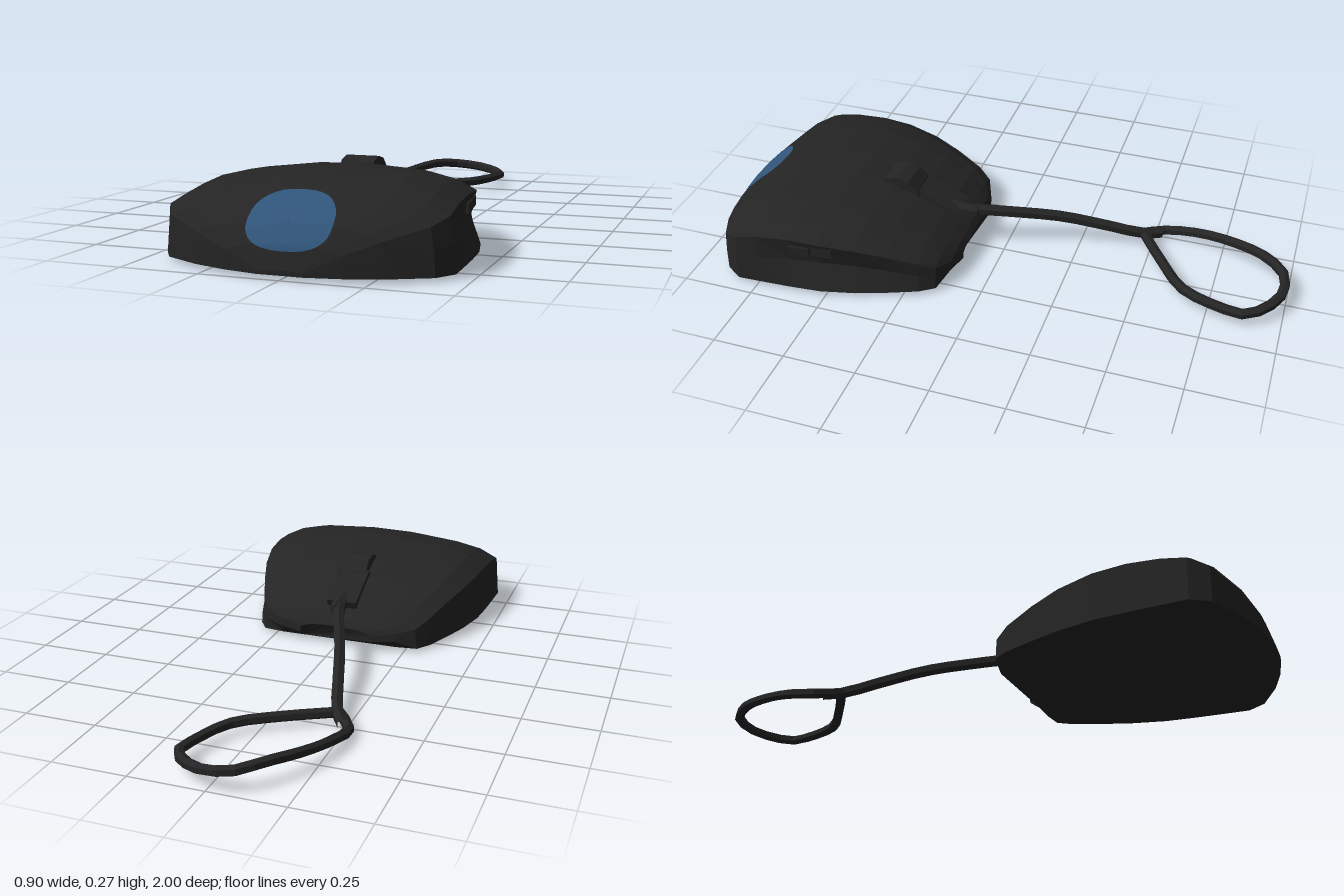
import * as THREE from 'three';

const black = new THREE.MeshStandardMaterial({ color: 0x242424, flatShading: true });
black.name = 'black plastic';
const blue = new THREE.MeshStandardMaterial({ color: 0x30557a });
blue.name = 'blue light';

const BASE = 0.015;

// Shell stations from rear to nose: z, half width, crown height
const STATIONS = [
  [0.995, 0.07, 0.03], [0.975, 0.18, 0.1], [0.94, 0.29, 0.155], [0.88, 0.41, 0.205],
  [0.82, 0.45, 0.238], [0.74, 0.447, 0.262], [0.63, 0.442, 0.275], [0.52, 0.433, 0.268],
  [0.4, 0.405, 0.245], [0.3, 0.37, 0.21], [0.2, 0.33, 0.162], [0.15, 0.295, 0.125],
  [0.12, 0.22, 0.1], [0.105, 0.14, 0.08],
];

// Cross-section as fractions of half width and height, from +x to -x
const SECTION = [
  [1, 0], [0.99, 0.38], [0.965, 0.73], [0.82, 0.86], [0.6, 0.95], [0.18, 1],
  [-0.18, 0.985], [-0.6, 0.9], [-0.82, 0.81], [-0.97, 0.66], [-0.985, 0.33], [-1, 0],
];

function shellGeometry() {
  const pos = [], index = [], n = SECTION.length;
  for (const [z, w, h] of STATIONS) {
    SECTION.forEach(([fx, fy], j) => {
      // Thumb hollow on the +x wall
      const t = THREE.MathUtils.clamp((z - 0.15) / 0.62, 0, 1);
      const hollow = j === 1 ? 0.035 * Math.sin(Math.PI * t) : 0;
      // The nose leans out over the base
      const zz = fy === 0 ? Math.max(z, 0.14) : z;
      pos.push(fx * w - hollow, BASE + fy * (h - BASE), zz);
    });
  }
  for (let i = 0; i < STATIONS.length - 1; i++) {
    for (let j = 0; j < n; j++) {
      const k = (j + 1) % n;
      const a = i * n + j, b = i * n + k, c = a + n, d = b + n;
      index.push(a, c, b, b, c, d);
    }
  }
  const last = (STATIONS.length - 1) * n;
  for (let j = 1; j < n - 1; j++) {
    index.push(0, j, j + 1, last, last + j + 1, last + j);
  }
  const g = new THREE.BufferGeometry();
  g.setAttribute('position', new THREE.Float32BufferAttribute(pos, 3));
  g.setIndex(index);
  g.computeVertexNormals();
  return g;
}

// Rounded oval laid onto the rear of the shell
function lightGeometry(shell) {
  const g = new THREE.RingGeometry(0.01, 1, 32, 8);
  const p = g.attributes.position;
  const ray = new THREE.Raycaster();
  const back = new THREE.Vector3(0, 0, -1);
  const squash = (v) => Math.sign(v) * Math.pow(Math.abs(v), 0.8);
  for (let i = 0; i < p.count; i++) {
    const r = Math.hypot(p.getX(i), p.getY(i));
    const x = 0.006 + 0.131 * r * squash(p.getX(i) / r);
    const y = 0.156 + 0.075 * r * squash(p.getY(i) / r);
    ray.set(new THREE.Vector3(x, y, 2), back);
    const hit = ray.intersectObject(shell)[0];
    p.setXYZ(i, x, y, (hit ? hit.point.z : 0.85) + 0.005);
  }
  g.computeVertexNormals();
  return g;
}

function tube(points, segments, radius) {
  const curve = new THREE.CatmullRomCurve3(points.map((p) => new THREE.Vector3(...p)));
  return new THREE.TubeGeometry(curve, segments, radius, 6, false);
}

export function createModel() {
  const model = new THREE.Group();
  const add = (name, geometry, material = black) => {
    const mesh = new THREE.Mesh(geometry, material);
    mesh.name = name;
    model.add(mesh);
    return mesh;
  };

  const shell = add('shell', shellGeometry());
  shell.updateMatrixWorld(true);
  add('rearLight', lightGeometry(shell), blue);

  // Scroll wheel and the sloping slot in front of it
  const wheel = add('scrollWheel', new THREE.CylinderGeometry(0.085, 0.085, 0.11, 12).rotateZ(Math.PI / 2));
  wheel.position.set(0.005, 0.187, 0.375);
  const slot = add('wheelSlot', new THREE.BoxGeometry(0.11, 0.03, 0.18));
  slot.position.set(-0.005, 0.182, 0.24);
  slot.rotation.x = -0.42;

  // Two thumb buttons in the hollow
  for (const z of [0.51, 0.59]) {
    const button = add('thumbButton', new THREE.BoxGeometry(0.03, 0.03, 0.07));
    button.position.set(z * 0.15 + 0.322, 0.165, z);
    button.rotation.y = 0.12;
  }

  // Strain relief, then the cable running forward
  const relief = add('strainRelief', new THREE.CylinderGeometry(0.02, 0.034, 0.1, 6).rotateX(-Math.PI / 2));
  relief.position.set(0, 0.148, 0.145);
  add('cable', tube([
    [0, 0.15, 0.2], [-0.01, 0.148, 0.12], [-0.05, 0.136, 0], [-0.115, 0.11, -0.18],
    [-0.165, 0.07, -0.34], [-0.205, 0.036, -0.46], [-0.245, 0.024, -0.52],
  ], 12, 0.021));

  // Loop at the cable's end
  add('cableLoop', tube([
    [-0.2, 0.036, -0.45], [-0.268, 0.02, -0.53], [-0.262, 0.04, -0.65], [-0.22, 0.06, -0.78],
    [-0.145, 0.077, -0.91], [-0.07, 0.07, -0.98], [0.03, 0.06, -0.98], [0.1, 0.052, -0.935],
    [0.14, 0.046, -0.88], [0.125, 0.043, -0.79], [0.07, 0.042, -0.66], [-0.06, 0.04, -0.56],
    [-0.2, 0.035, -0.47],
  ], 26, 0.018));

  return model;
}
